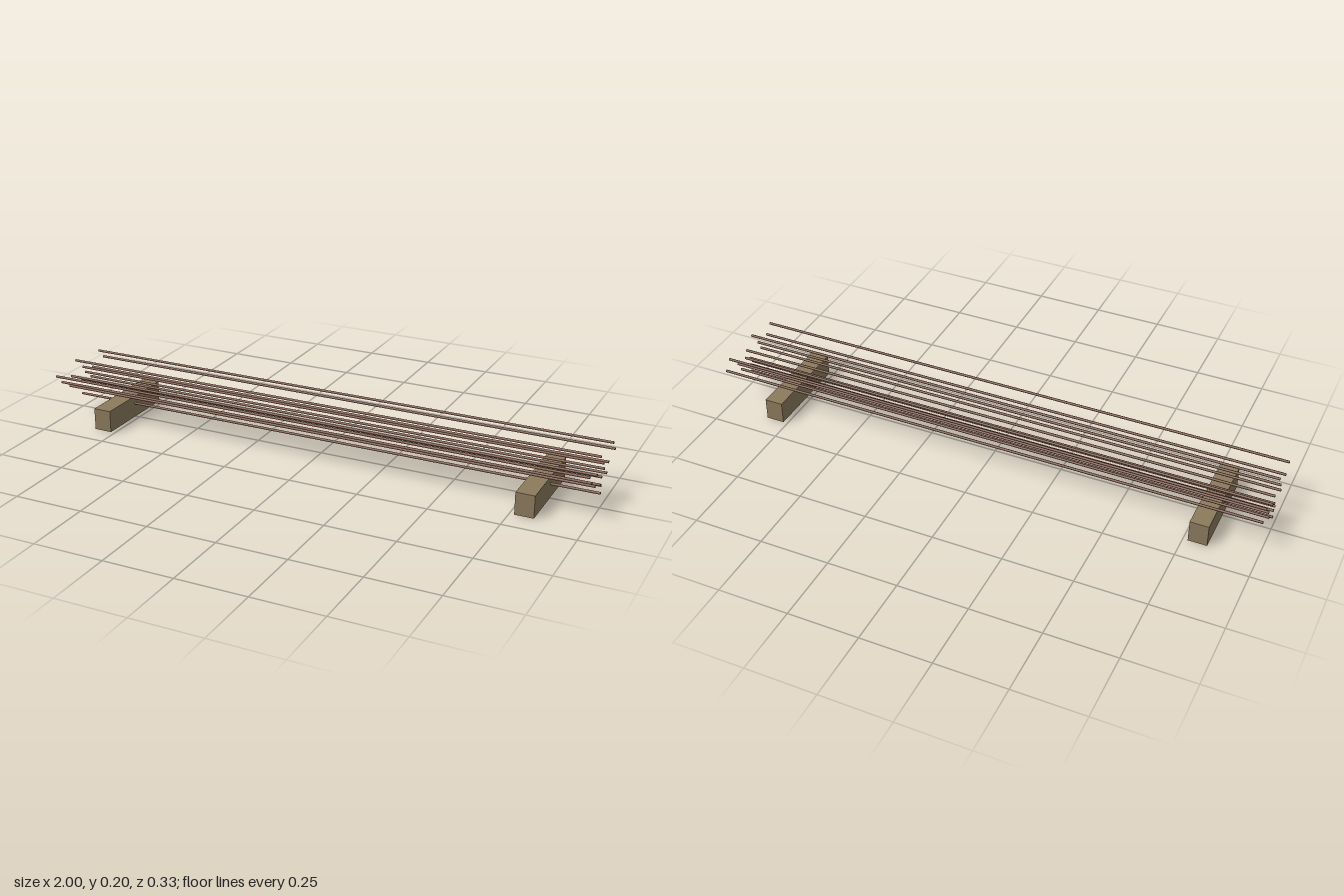
import * as THREE from 'three';

// Rod centres in cross-section: [z, y]
const RODS = [
  [0.152, 0.172], [0.123, 0.14], [0.076, 0.109], [0.062, 0.142], [0.028, 0.193],
  [0.014, 0.088], [0, 0.052], [0, 0.08], [0, 0.11], [-0.014, 0.153],
  [-0.028, 0.128], [-0.061, 0.099], [-0.076, 0.132], [-0.123, 0.182], [-0.151, 0.149],
];

export function createModel() {
  const model = new THREE.Group();
  const timber = new THREE.MeshStandardMaterial({ color: 0x8b7a5c });
  const rust = new THREE.MeshStandardMaterial({ color: 0x7a5546 });

  // Two cross timbers under the stack
  const blockGeometry = new THREE.BoxGeometry(0.066, 0.08, 0.333);
  for (const side of [-1, 1]) {
    const block = new THREE.Mesh(blockGeometry, timber);
    block.name = side > 0 ? 'leftSupportBlock' : 'rightSupportBlock';
    block.position.set(side * 0.8, 0.04, 0);
    model.add(block);
  }

  // Long thin rods running the full length
  const rods = new THREE.Group();
  rods.name = 'rods';
  const rodGeometry = new THREE.CylinderGeometry(0.0046, 0.0046, 2, 8).rotateZ(Math.PI / 2);
  RODS.forEach(([z, y], i) => {
    const rod = new THREE.Mesh(rodGeometry, rust);
    rod.name = `rod${i + 1}`;
    rod.position.set(0, y, z);
    rods.add(rod);
  });
  model.add(rods);
  return model;
}
